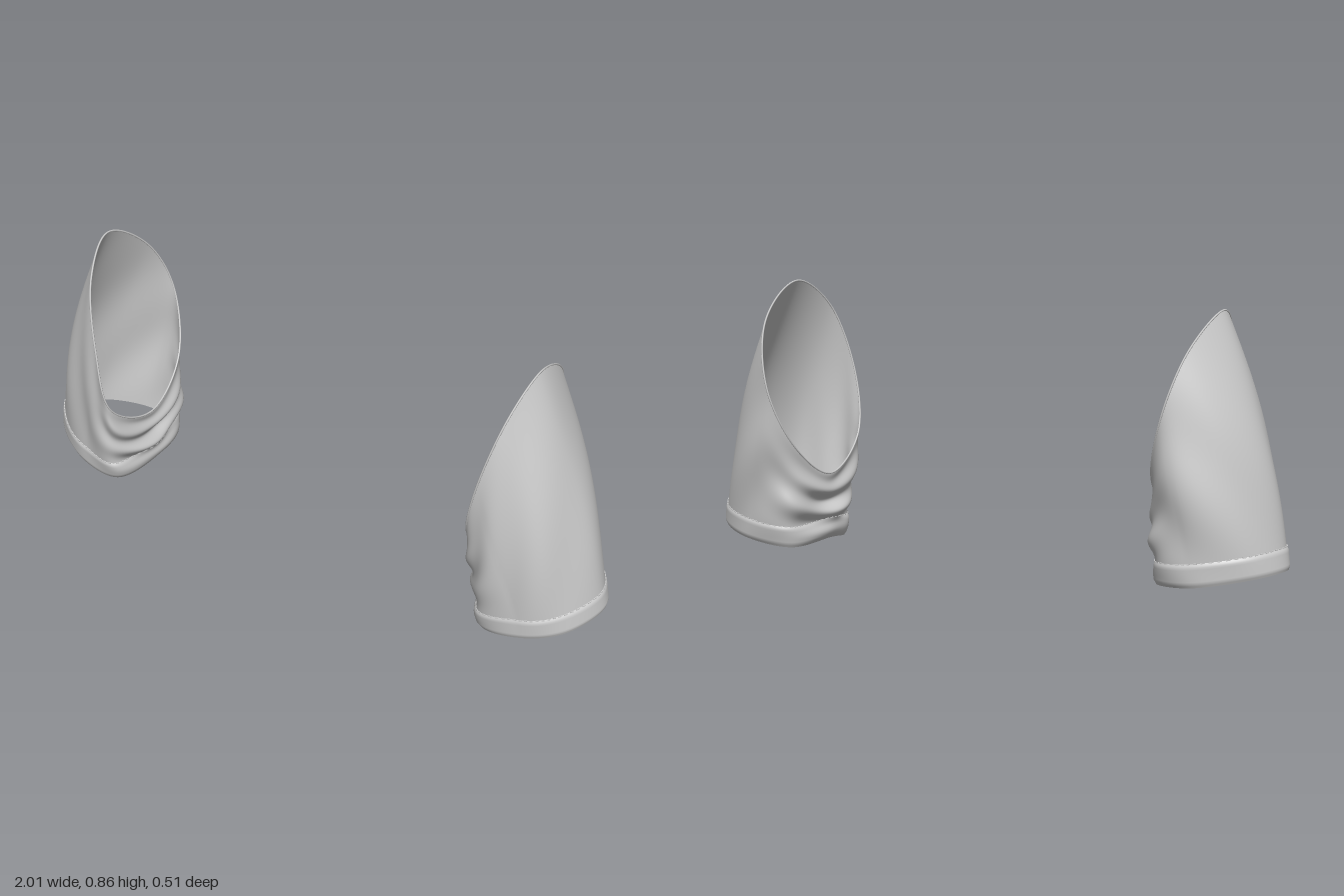
import * as THREE from 'three';
import { mergeGeometries } from 'three/addons/utils/BufferGeometryUtils.js';

const cloth = new THREE.MeshStandardMaterial({ color: 0xcccccc, side: THREE.DoubleSide });
const BAND = 0.07; // height of the turned-up hem

// Closed curve through eight points: outer, front-outer, front, front-inner, inner, back-inner, back, back-outer
const ring = (points) => new THREE.CatmullRomCurve3(points.map((p) => new THREE.Vector3(...p)), true, 'centripetal');

// Smooth grid surface, closed in u, from a rule (u, v) -> Vector3
function loft(rule, nu, nv, flip) {
  const pos = [], idx = [];
  for (let j = 0; j <= nv; j++)
    for (let i = 0; i < nu; i++) pos.push(...rule(i / nu, j / nv).toArray());
  for (let j = 0; j < nv; j++)
    for (let i = 0; i < nu; i++) {
      const a = j * nu + i, b = j * nu + (i + 1) % nu, c = a + nu, d = b + nu;
      if (flip) idx.push(a, b, c, b, d, c);
      else idx.push(a, c, b, b, c, d);
    }
  const g = new THREE.BufferGeometry();
  g.setAttribute('position', new THREE.Float32BufferAttribute(pos, 3));
  g.setIndex(idx);
  g.computeVertexNormals();
  return g;
}

function makeSleeve(name, side, hemPoints, capPoints) {
  const hem = ring(hemPoints), cap = ring(capPoints);
  const sleeve = new THREE.Group();
  sleeve.name = name;

  // Point on the cloth: straight run from hem to armhole, plus fullness and folds
  const surface = (u, v, offset = 0) => {
    const t = u * Math.PI * 2;
    const a = hem.getPoint(u), b = cap.getPoint(u);
    const inner = Math.max(0, -Math.cos(t)) ** 2, outer = Math.max(0, Math.cos(t));
    const swell = Math.sin(Math.PI * v);
    const drape = 0.007 * Math.sin(t * 6 + v * 7) * swell * (1 - 0.6 * outer);
    const bunch = 0.013 * inner * Math.sin(v * 19) * swell;
    const d = swell * (0.008 + 0.024 * outer) + drape + bunch + offset;
    const p = a.lerp(b, v);
    p.x += side * Math.cos(t) * d;
    p.z += Math.sin(t) * d;
    return p;
  };
  const bandV = (u) => BAND / hem.getPoint(u).distanceTo(cap.getPoint(u));
  const add = (partName, geometry) => {
    const mesh = new THREE.Mesh(geometry, cloth);
    mesh.name = partName;
    sleeve.add(mesh);
  };

  // Main cloth
  add('sleeveBody', loft((u, v) => surface(u, v), 112, 56, side < 0));

  // Turned-up hem, rounded over at its two edges
  add('hemBand', loft((u, v) => surface(u, v * bandV(u), 0.005 * Math.min(1, 6 * v, 8 * (1 - v))), 112, 12, side < 0));

  // Row of stitches along the top of the hem
  const stitches = [], count = 64;
  for (let i = 0; i < count; i++) {
    const u = i / count, u2 = u + 0.5 / count;
    const p = surface(u, bandV(u), 0.002), q = surface(u2, bandV(u2), 0.002);
    const g = new THREE.BoxGeometry(0.003, 0.003, p.distanceTo(q));
    const m = new THREE.Matrix4().lookAt(p, q, new THREE.Vector3(0, 1, 0));
    m.setPosition(p.lerp(q, 0.5));
    stitches.push(g.applyMatrix4(m));
  }
  add('hemStitches', mergeGeometries(stitches));

  // Narrow rolled edge around the armhole
  add('armholeEdge', new THREE.TubeGeometry(cap, 112, 0.003, 6, true));
  return sleeve;
}

export function createModel() {
  const model = new THREE.Group();
  model.name = 'pairOfSleeves';
  model.add(makeSleeve('leftSleeve', 1,
    [[1.0, 0.08, 0], [0.94, 0.058, 0.14], [0.83, 0.035, 0.2], [0.68, 0.006, 0.18],
      [0.63, 0.022, 0.03], [0.67, 0.012, -0.13], [0.82, 0.035, -0.165], [0.94, 0.062, -0.115]],
    [[0.76, 0.863, 0.05], [0.735, 0.775, 0.195], [0.675, 0.55, 0.25], [0.63, 0.35, 0.2],
      [0.615, 0.24, 0.02], [0.63, 0.34, -0.15], [0.68, 0.54, -0.235], [0.735, 0.745, -0.165]]));
  model.add(makeSleeve('rightSleeve', -1,
    [[-1.0, 0.1, -0.02], [-0.95, 0.09, 0.07], [-0.81, 0.058, 0.155], [-0.67, 0.043, 0.16],
      [-0.63, 0.045, -0.02], [-0.66, 0.05, -0.17], [-0.79, 0.062, -0.215], [-0.95, 0.09, -0.135]],
    [[-0.79, 0.838, -0.02], [-0.755, 0.75, 0.12], [-0.69, 0.54, 0.205], [-0.64, 0.35, 0.215],
      [-0.615, 0.25, 0.03], [-0.635, 0.35, -0.16], [-0.705, 0.55, -0.25], [-0.755, 0.73, -0.185]]));
  return model;
}
